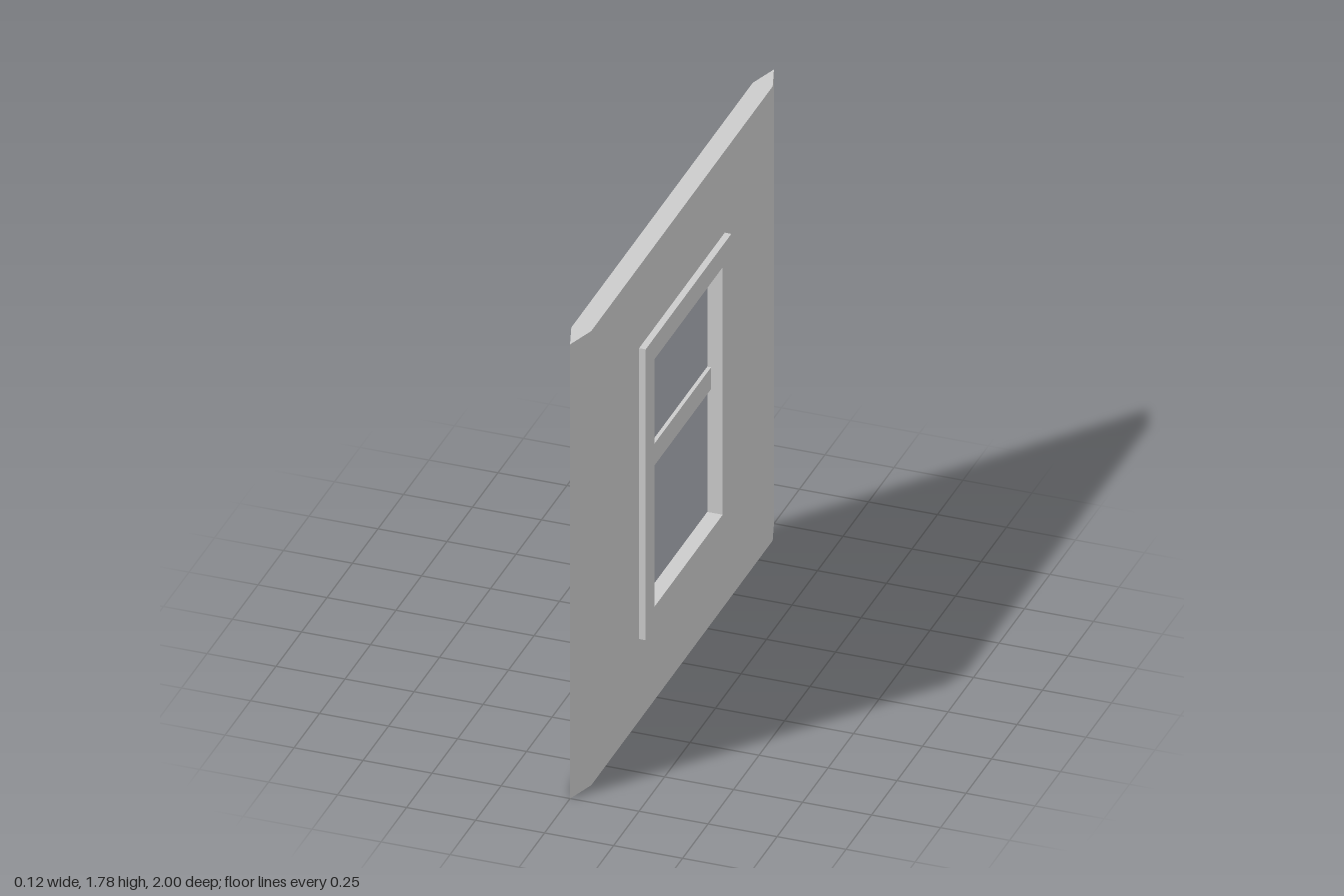
import * as THREE from 'three';

const HEIGHT = 1.78, HALF_X = 0.036, BEVEL_Z = 0.89;
const FRAME = { z: 0.42, y0: 0.32, y1: 1.46 };
const OPENING = { z: 0.335, y0: 0.405, y1: 1.375 };

const grey = new THREE.MeshStandardMaterial({ color: 0xcccccc });
const glass = new THREE.MeshStandardMaterial({ color: 0xa8aab2 });

function rectangle(r, Type) {
  return new Type([[-r.z, r.y0], [r.z, r.y0], [r.z, r.y1], [-r.z, r.y1]].map(p => new THREE.Vector2(...p)));
}

// Upright slab in the zy plane with a rectangular hole, centred on x = 0
function slab(outer, hole, thickness) {
  const shape = rectangle(outer, THREE.Shape);
  shape.holes.push(rectangle(hole, THREE.Path));
  const geometry = new THREE.ExtrudeGeometry(shape, { depth: thickness, bevelEnabled: false });
  return geometry.translate(0, 0, -thickness / 2).rotateY(-Math.PI / 2);
}

export function createModel() {
  const model = new THREE.Group();
  const add = (name, geometry, material = grey) => {
    const mesh = new THREE.Mesh(geometry, material);
    mesh.name = name;
    model.add(mesh);
    return mesh;
  };

  // Wall panel with an opening for the window frame
  add('wallPanel', slab({ z: BEVEL_Z, y0: 0, y1: HEIGHT }, FRAME, HALF_X * 2));

  // Pointed wall ends
  const wedge = new THREE.Shape([[-HALF_X, -BEVEL_Z], [0, -1], [HALF_X, -BEVEL_Z]].map(p => new THREE.Vector2(...p)));
  const wedgeGeometry = new THREE.ExtrudeGeometry(wedge, { depth: HEIGHT, bevelEnabled: false }).rotateX(-Math.PI / 2);
  add('frontWallEnd', wedgeGeometry);
  add('backWallEnd', wedgeGeometry).rotation.y = Math.PI;

  // Window frame, standing proud of both wall faces
  add('windowFrame', slab(FRAME, OPENING, 0.12));

  // Thin pane and the crossbar over it
  const paneHeight = OPENING.y1 - OPENING.y0;
  add('windowPane', new THREE.BoxGeometry(0.008, paneHeight, OPENING.z * 2), glass)
    .position.y = OPENING.y0 + paneHeight / 2;
  add('crossbar', new THREE.BoxGeometry(0.036, 0.085, OPENING.z * 2)).position.y = 0.932;

  return model;
}
